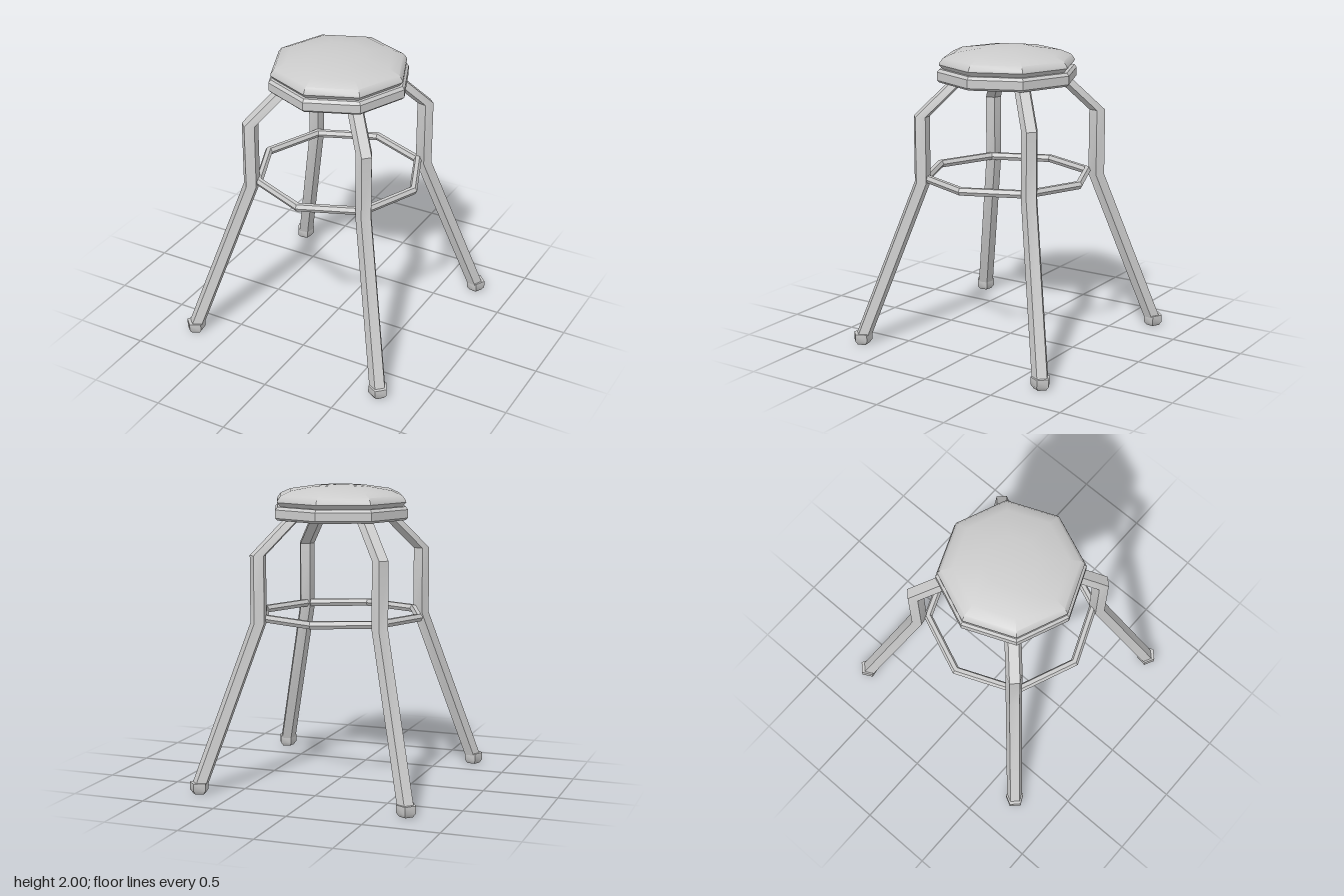
import * as THREE from 'three';
import { toCreasedNormals } from 'three/addons/utils/BufferGeometryUtils.js';

const material = new THREE.MeshStandardMaterial({ color: 0xcccccc });

function part(name, geometry) {
  const mesh = new THREE.Mesh(toCreasedNormals(geometry, 0.6), material);
  mesh.name = name;
  return mesh;
}

function lathe(profile, sides, start = 0) {
  return new THREE.LatheGeometry(profile.map(([r, y]) => new THREE.Vector2(r, y)), sides, start);
}

// Five-sided sections with a flat side facing outward along the leg's diagonal
const LEG_START = THREE.MathUtils.degToRad(135 + 36);

// Bent leg: a prism whose rows of vertices are shifted onto the path
function legGeometry(path) {
  const rows = path.length - 1;
  const geometry = new THREE.CylinderGeometry(0.056, 0.056, 1, 5, rows, false, LEG_START);
  const pos = geometry.attributes.position;
  for (let i = 0; i < pos.count; i++) {
    const [x, y, z] = path[Math.round((0.5 - pos.getY(i)) * rows)];
    pos.setXYZ(i, pos.getX(i) + x, y, pos.getZ(i) + z);
  }
  return geometry;
}

export function createModel() {
  const stool = new THREE.Group();
  stool.name = 'stool';

  // Eight-sided seat: rim below, domed cushion above
  const top = new THREE.Group();
  top.name = 'seat';
  top.position.set(0.012, 0, 0.015);
  top.add(part('seatRim', lathe([
    [0, 1.775], [0.455, 1.775], [0.471, 1.79], [0.471, 1.845], [0.455, 1.864], [0, 1.864],
  ], 8)));
  top.add(part('cushion', lathe([
    [0.43, 1.86], [0.458, 1.892], [0.455, 1.905], [0.432, 1.935],
    [0.36, 1.966], [0.18, 1.993], [0, 2],
  ], 8)));
  stool.add(top);

  // Eight-sided foot ring
  const ring = part('footRing', new THREE.TorusGeometry(0.552, 0.028, 6, 8).rotateX(Math.PI / 2));
  ring.position.set(0.012, 1.134, 0.015);
  stool.add(ring);

  // Four splayed legs with foot caps, repeated by quarter turns
  const path = [[0.245, 1.79, -0.25], [0.425, 1.555, -0.42], [0.425, 1.11, -0.42], [0.735, 0.05, -0.7]];
  const cap = [[0, 0], [0.045, 0], [0.065, 0.025], [0.065, 0.075], [0, 0.075]];
  for (let i = 0; i < 4; i++) {
    const leg = new THREE.Group();
    leg.name = 'leg' + (i + 1);
    leg.add(part('legTube', legGeometry(path)));
    const foot = part('footCap', lathe(cap, 5, LEG_START));
    foot.position.set(0.738, 0, -0.703);
    leg.add(foot);
    leg.rotation.y = i * Math.PI / 2;
    stool.add(leg);
  }
  return stool;
}
